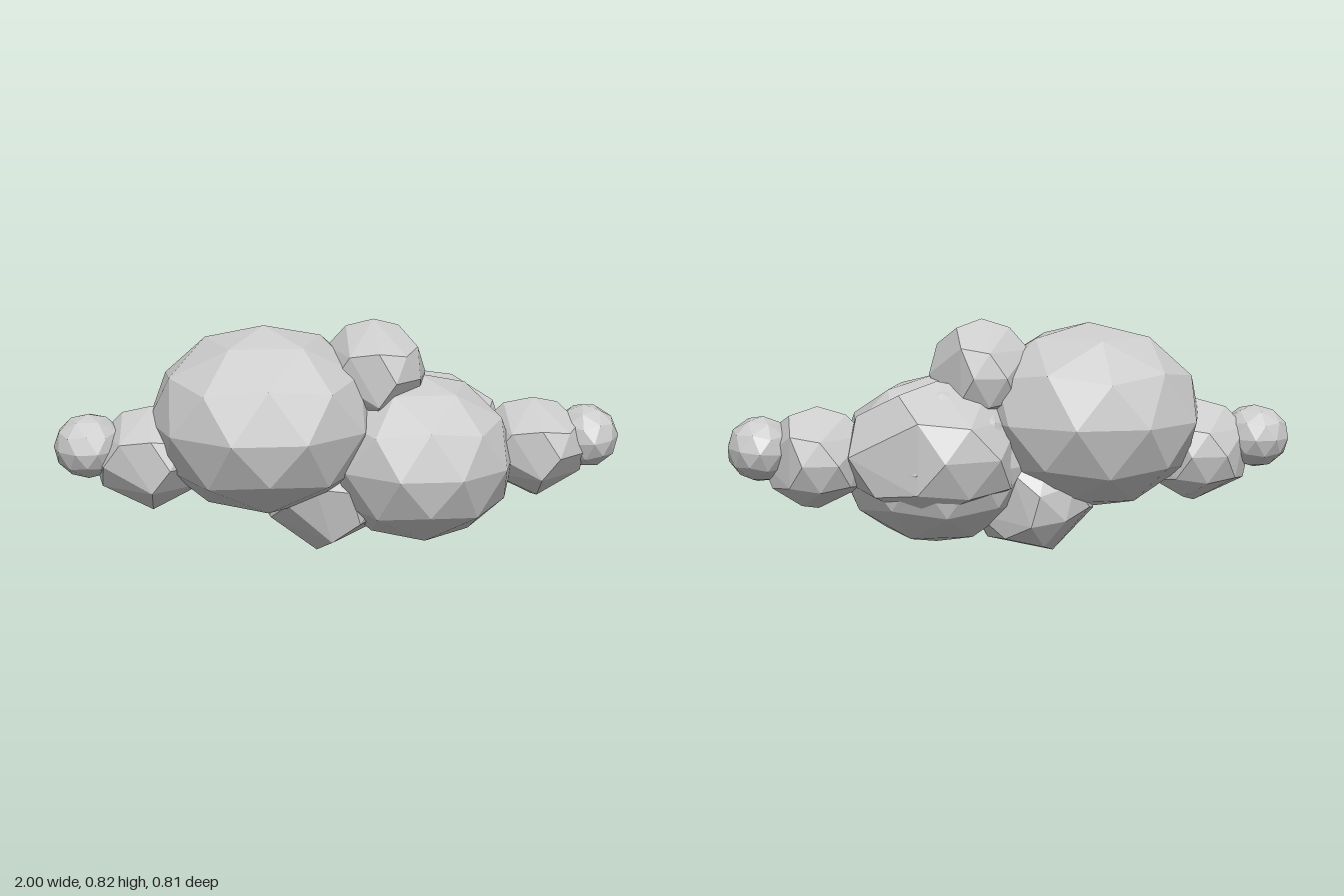
import * as THREE from 'three';
import { ConvexGeometry } from 'three/addons/geometries/ConvexGeometry.js';

const material = new THREE.MeshStandardMaterial({ color: 0xcccccc, flatShading: true });

// Faceted ball with a vertex at each pole
const ball = new THREE.IcosahedronGeometry(1, 1);
ball.rotateX(-Math.atan2(0.851, 0.526));
ball.rotateY(Math.PI);

// Coarser, irregular ball: the same corners with some left out
function makeChunk() {
  const corners = [];
  const p = ball.attributes.position;
  for (let i = 0; i < p.count; i++) {
    const v = new THREE.Vector3().fromBufferAttribute(p, i);
    if (!corners.some((c) => c.distanceTo(v) < 0.01)) corners.push(v);
  }
  return new ConvexGeometry(corners.filter((v, i) => i % 3 !== 1 || Math.abs(v.y) > 0.99));
}
const chunk = makeChunk();

function puff(name, shape, position, radii, turn = [0, 0, 0]) {
  const geometry = shape.clone();
  geometry.rotateX(turn[0]);
  geometry.rotateY(turn[1]);
  geometry.rotateZ(turn[2]);
  geometry.scale(...radii);
  geometry.computeVertexNormals();
  const mesh = new THREE.Mesh(geometry, material);
  mesh.name = name;
  mesh.position.set(...position);
  return mesh;
}

export function createModel() {
  const cloud = new THREE.Group();
  cloud.name = 'cloud';
  cloud.add(
    // Main body
    puff('rightMainPuff', ball, [-0.267, 0.478, 0], [0.405, 0.33, 0.425]),
    puff('leftMainPuff', ball, [0.275, 0.333, 0.02], [0.345, 0.298, 0.367]),
    puff('leftBackPuff', chunk, [0.285, 0.375, -0.1], [0.325, 0.245, 0.275], [0, 0.3, 0]),
    // Filler puffs above and below the seam
    puff('topPuff', chunk, [0.115, 0.635, 0], [0.185, 0.19, 0.22]),
    puff('bottomPuff', chunk, [-0.06, 0.2, -0.02], [0.225, 0.205, 0.25], [0.2, 0.3, -0.25]),
    // Tapering ends
    puff('rightMiddlePuff', chunk, [-0.66, 0.345, 0], [0.205, 0.185, 0.205]),
    puff('rightEndPuff', ball, [-0.88, 0.39, -0.01], [0.123, 0.113, 0.145]),
    puff('leftMiddlePuff', chunk, [0.69, 0.353, -0.015], [0.195, 0.178, 0.215]),
    puff('leftEndPuff', ball, [0.885, 0.388, -0.01], [0.115, 0.113, 0.145], [0, 0.3, 0.1]),
  );
  return cloud;
}
